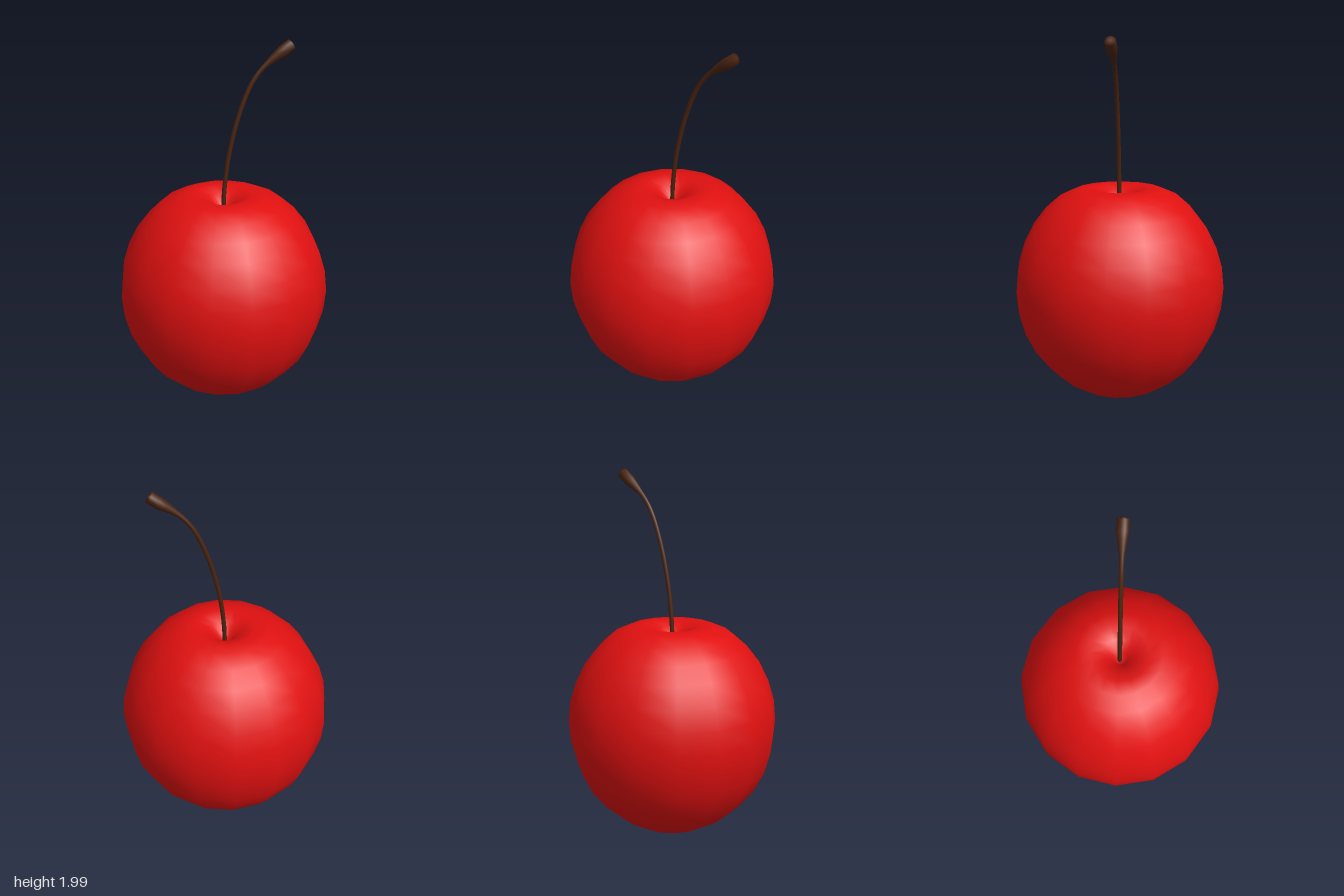
import * as THREE from 'three';
import { mergeVertices } from 'three/addons/utils/BufferGeometryUtils.js';

const mat = (name, color) => {
  const m = new THREE.MeshStandardMaterial({ color });
  m.name = name;
  return m;
};

// Weld seams and give smooth normals
function smooth(geometry) {
  geometry.deleteAttribute('uv');
  geometry.deleteAttribute('normal');
  const g = mergeVertices(geometry, 1e-4);
  g.computeVertexNormals();
  return g;
}

// Round fruit with a dimple at the top, as [radius, height] from the bottom up
function makeFruit() {
  const profile = [
    [0, 0.005], [0.12, 0.02], [0.22, 0.053], [0.315, 0.11], [0.4, 0.185],
    [0.475, 0.28], [0.53, 0.39], [0.563, 0.51], [0.575, 0.63], [0.563, 0.75],
    [0.53, 0.86], [0.475, 0.97], [0.405, 1.06], [0.325, 1.13], [0.235, 1.17],
    [0.16, 1.177], [0.09, 1.15], [0.04, 1.1], [0, 1.06],
  ].map(([r, y]) => new THREE.Vector2(r, y));
  return smooth(new THREE.LatheGeometry(profile, 16));
}

// Thin curved stalk that flares into a blunt knob
function makeStem() {
  const path = new THREE.CatmullRomCurve3([
    [0, 1.04], [0.006, 1.2], [0.032, 1.4], [0.082, 1.6], [0.145, 1.76],
    [0.2, 1.84], [0.26, 1.893], [0.32, 1.935], [0.374, 1.974],
  ].map(([x, y]) => new THREE.Vector3(x, y, 0)));
  const rings = 32, sides = 10;
  const g = new THREE.TubeGeometry(path, rings, 1, sides);
  const pos = g.attributes.position;
  const v = new THREE.Vector3();
  for (let i = 0; i <= rings; i++) {
    const centre = path.getPointAt(i / rings);
    // The last rings close the tip
    const target = i === rings - 1 ? path.getPointAt(0.992) : centre;
    let r = 0.012 + 0.022 * THREE.MathUtils.smoothstep(target.x, 0.2, 0.355);
    if (i === rings - 1) r = 0.03;
    if (i === rings) r = 0;
    for (let j = 0; j <= sides; j++) {
      const k = i * (sides + 1) + j;
      v.fromBufferAttribute(pos, k).sub(centre).multiplyScalar(r).add(target);
      pos.setXYZ(k, v.x, v.y, v.z);
    }
  }
  return smooth(g);
}

export function createModel() {
  const group = new THREE.Group();
  group.name = 'cherry';
  const add = (name, geometry, material) => {
    const mesh = new THREE.Mesh(geometry, material);
    mesh.name = name;
    group.add(mesh);
  };
  add('fruit', makeFruit(), mat('cherry red', 0xe01010));
  add('stem', makeStem(), mat('stem brown', 0x4a2410));
  return group;
}
